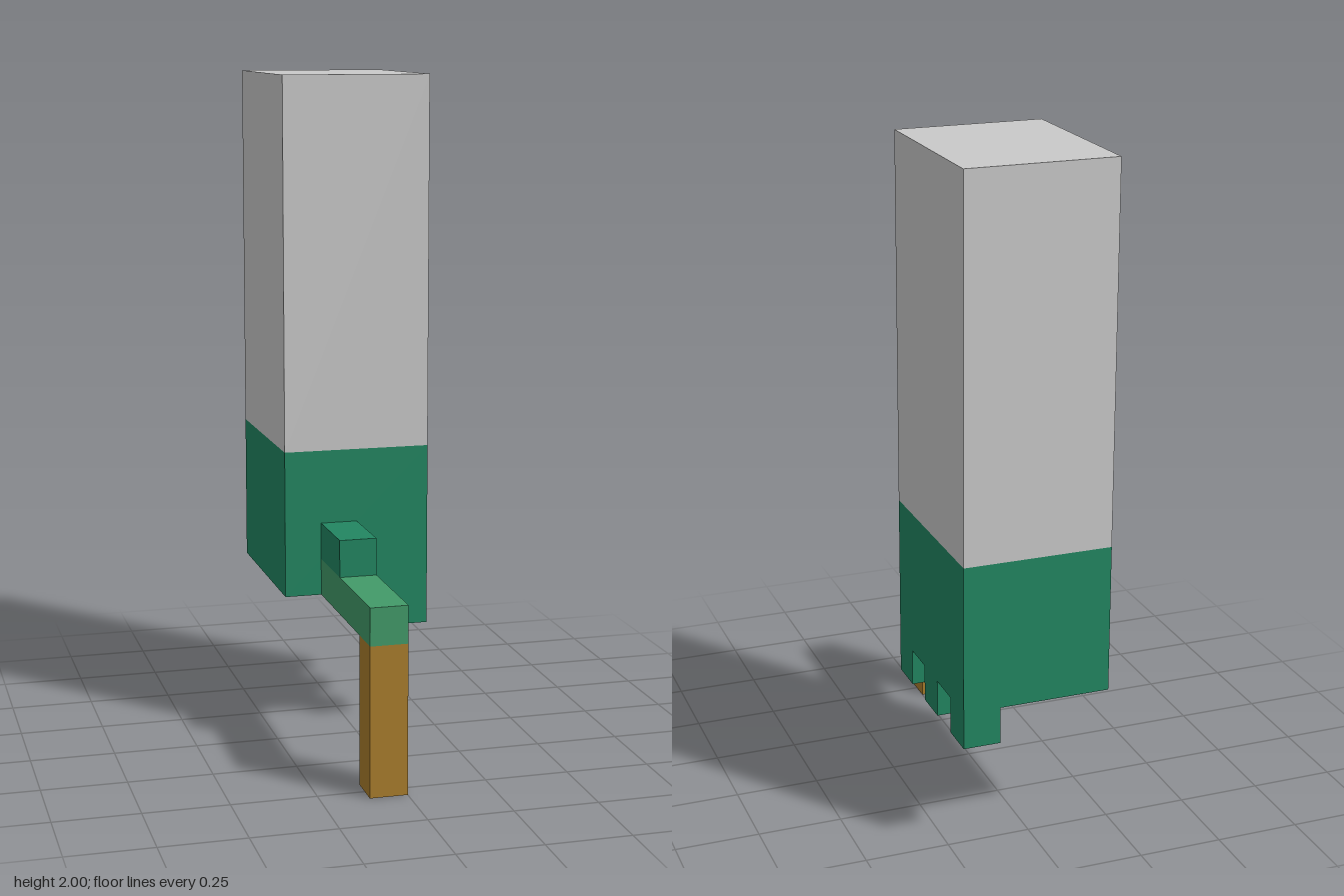
import * as THREE from 'three';

// The model sits on a grid of cubes, 18 cubes tall
const U = 2 / 18;

const material = (name, color) => {
  const m = new THREE.MeshStandardMaterial({ color });
  m.name = name;
  return m;
};

export function createModel() {
  const group = new THREE.Group();
  const grey = material('grey', 0xc9c9c9);
  const darkGreen = material('dark green', 0x228661);
  const lightGreen = material('light green', 0x429a69);
  const brown = material('brown', 0xa97d2c);

  // Box between two corners given in grid units
  const block = (name, mat, [x0, y0, z0], [x1, y1, z1]) => {
    const geometry = new THREE.BoxGeometry((x1 - x0) * U, (y1 - y0) * U, (z1 - z0) * U);
    const mesh = new THREE.Mesh(geometry, mat);
    mesh.position.set((x0 + x1) / 2 * U, (y0 + y1) / 2 * U, (z0 + z1) / 2 * U);
    mesh.name = name;
    group.add(mesh);
  };

  // Tower: grey upper part on a green base
  block('towerTop', grey, [-2, 8, -5], [2, 18, 0]);
  block('towerBase', darkGreen, [-2, 4, -5], [2, 8, 0]);

  // Three teeth hanging along the left edge
  for (const z of [-5, -3, -1]) block('tooth', darkGreen, [1, 3, z], [2, 4, z + 1]);

  // Arm reaching forward, with a short block on top and a post at its end
  block('arm', lightGreen, [-1, 4, 0], [0, 5, 5]);
  block('armBlock', darkGreen, [-1, 5, 0], [0, 6, 2]);
  block('post', brown, [-1, 0, 4], [0, 4, 5]);

  return group;
}
